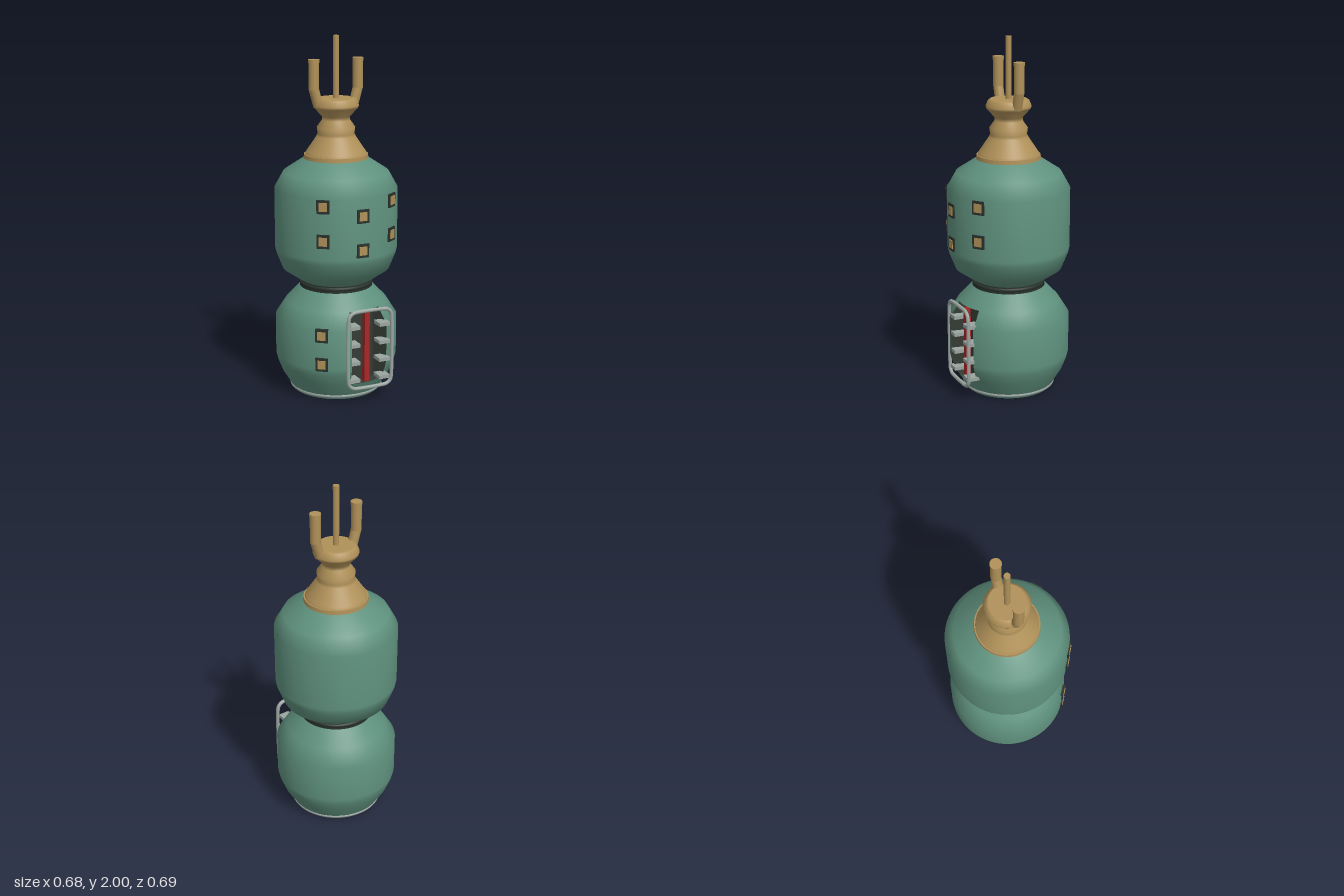
import * as THREE from 'three';

const mat = (name, color, side = THREE.FrontSide) => {
  const m = new THREE.MeshStandardMaterial({ color, side });
  m.name = name;
  return m;
};
const rad = THREE.MathUtils.degToRad;
const SEG = 72;
const OPEN_START = rad(-10), OPEN_CELLS = 8, OPEN_SWEEP = rad(40);
const vec = (p) => p.map(([r, y]) => new THREE.Vector2(r, y));

export function createModel() {
  const model = new THREE.Group();
  model.name = 'tower';
  const green = mat('sea green', 0x5f917e);
  const gold = mat('brass', 0xb09159);
  const grey = mat('light grey', 0x9ba6a1);
  const red = mat('red', 0xa82626);
  const dark = mat('charcoal', 0x2a332d);
  const inside = mat('recess dark', 0x353b34, THREE.DoubleSide);

  const root = new THREE.Group();
  root.name = 'towerBody';
  root.position.z = -0.008;
  model.add(root);
  const add = (name, geo, material, x = 0, y = 0, z = 0, parent = root) => {
    const mesh = new THREE.Mesh(geo, material);
    mesh.name = name;
    mesh.position.set(x, y, z);
    parent.add(mesh);
    return mesh;
  };

  // Lower drum: a lathe with the cells of the doorway left out
  const lower = [[0.245, 0.003], [0.262, 0.035], [0.308, 0.11], [0.332, 0.17], [0.342, 0.21],
    [0.342, 0.43], [0.285, 0.52], [0.205, 0.605]];
  const lowerGeo = new THREE.LatheGeometry(vec(lower), SEG, OPEN_START);
  const rows = lower.length - 1;
  lowerGeo.setIndex(Array.from(lowerGeo.index.array).filter((_, k) => {
    const cell = Math.floor(k / 6);
    const row = cell % rows;
    return !(Math.floor(cell / rows) < OPEN_CELLS && row >= 2 && row <= 5);
  }));
  add('lowerDrum', lowerGeo, green);
  add('drumBase', new THREE.CircleGeometry(0.247, SEG).rotateX(Math.PI / 2), green, 0, 0.003);
  add('baseRing', new THREE.TorusGeometry(0.252, 0.011, 8, SEG).rotateX(Math.PI / 2), grey, 0, 0.024);

  // Doorway recess: back, floor, ceiling and two side walls
  const recess = [[0.308, 0.11], [0.25, 0.11], [0.25, 0.52], [0.285, 0.52]];
  const liner = new THREE.LatheGeometry(vec(recess), OPEN_CELLS, OPEN_START, OPEN_SWEEP).toNonIndexed();
  liner.computeVertexNormals();
  add('doorRecess', liner, inside);
  const sideShape = new THREE.Shape(vec([[0.25, 0.11], ...lower.slice(2, 7), [0.25, 0.52]]));
  for (const phi of [OPEN_START, OPEN_START + OPEN_SWEEP]) {
    add('recessSide', new THREE.ShapeGeometry(sideShape).rotateY(phi - Math.PI / 2), inside);
  }

  // Red pole, tube frame and brackets of the door
  const door = new THREE.Group();
  door.name = 'door';
  door.position.set(0.053, 0.312, 0.008);
  root.add(door);
  add('doorPole', new THREE.BoxGeometry(0.03, 0.405, 0.03), red, 0, 0, 0.272, door);
  const hw = 0.131, hh = 0.22, cr = 0.045;
  const loop = [];
  [[1, 1], [-1, 1], [-1, -1], [1, -1]].forEach(([sx, sy], q) => {
    for (let i = 0; i <= 4; i++) {
      const a = (q + i / 4) * Math.PI / 2;
      loop.push(new THREE.Vector3(sx * (hw - cr) + cr * Math.cos(a), sy * (hh - cr) + cr * Math.sin(a), 0));
    }
  });
  const path = new THREE.CatmullRomCurve3(loop, true);
  add('doorFrame', new THREE.TubeGeometry(path, 120, 0.011, 8, true), grey, 0, 0, 0.324, door);
  for (const s of [-1, 1]) {
    for (let i = 0; i < 4; i++) {
      add('doorBracket', new THREE.BoxGeometry(0.065, 0.02, 0.072), grey, s * 0.091, -0.178 + i * 0.102, 0.288, door);
    }
  }

  // Dark waist between the drums
  add('waist', new THREE.CylinderGeometry(0.198, 0.198, 0.06, SEG), dark, 0, 0.625);
  add('waistRing', new THREE.TorusGeometry(0.196, 0.011, 8, SEG).rotateX(Math.PI / 2), dark, 0, 0.625);

  // Upper drum
  add('upperDrum', new THREE.LatheGeometry(vec([[0.195, 0.64], [0.205, 0.645], [0.3, 0.71], [0.336, 0.8],
    [0.342, 0.83], [0.342, 1.165], [0.292, 1.255], [0.17, 1.335]]), SEG), green);

  // Windows: a dark frame with a brass pane, turned to face outward
  const addWindow = (deg, y) => {
    const w = new THREE.Group();
    w.name = 'window';
    w.position.y = y;
    w.rotation.y = rad(deg);
    root.add(w);
    add('windowFrame', new THREE.BoxGeometry(0.07, 0.076, 0.022), dark, 0, 0, 0.338, w);
    add('windowPane', new THREE.BoxGeometry(0.045, 0.048, 0.009), gold, 0, 0, 0.3485, w);
  };
  for (const y of [1.125, 0.935]) {
    addWindow(-36.5, y);
    addWindow(36.5, y);
    addWindow(0, y - 0.056);
  }
  for (const y of [0.405, 0.24]) addWindow(-38, y);

  // Brass spire: flange, flared neck and crown
  add('spireFlange', new THREE.CylinderGeometry(0.177, 0.179, 0.022, 48), gold, 0, 1.341);
  add('spire', new THREE.LatheGeometry(vec([[0.17, 1.352], [0.165, 1.365], [0.108, 1.45], [0.101, 1.465],
    [0.106, 1.5], [0.078, 1.54], [0.078, 1.56], [0.122, 1.608], [0.126, 1.622], [0.113, 1.652], [0.1, 1.66]]), 48), gold);
  add('crownTop', new THREE.CircleGeometry(0.101, 48).rotateX(-Math.PI / 2), gold, 0, 1.66);
  add('mast', new THREE.CylinderGeometry(0.017, 0.017, 0.35, 20), gold, 0, 1.825);

  // Pair of bent pipes beside the mast
  for (const s of [-1, 1]) {
    add('pipe', new THREE.CylinderGeometry(0.029, 0.029, 0.16, 20), gold, s * 0.132, 1.79);
    add('pipeCap', new THREE.CylinderGeometry(0.031, 0.031, 0.018, 20), gold, s * 0.132, 1.866);
    const foot = add('pipeFoot', new THREE.CylinderGeometry(0.028, 0.028, 0.1, 20), gold, s * 0.119, 1.667);
    foot.rotation.z = -s * 0.28;
    add('pipeElbow', new THREE.SphereGeometry(0.028, 20, 12), gold, s * 0.132, 1.712);
  }
  return model;
}
